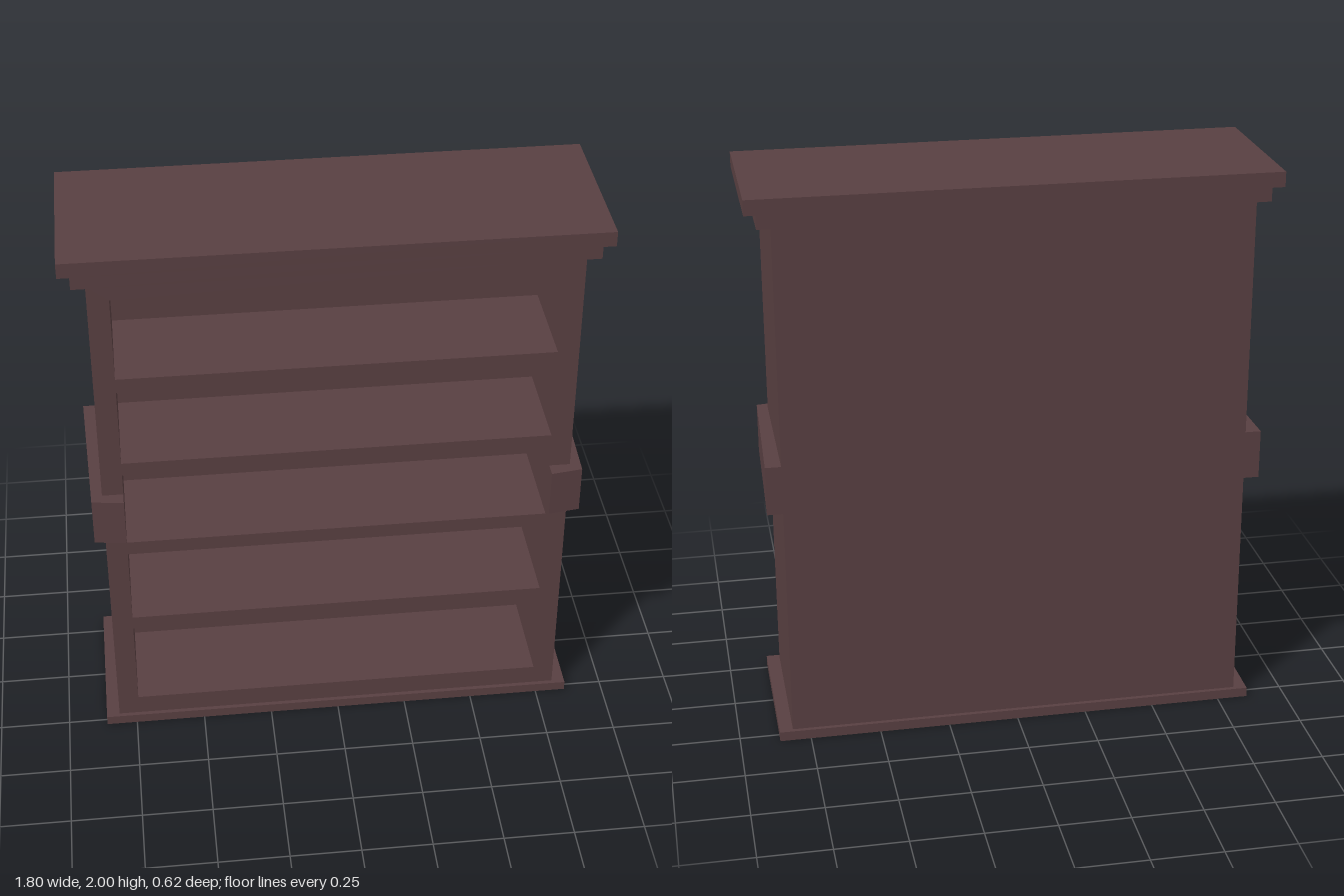
import * as THREE from 'three';

const material = new THREE.MeshStandardMaterial({ color: 0x583f41, flatShading: true });

export function createModel() {
  const model = new THREE.Group();
  model.name = 'bookcase';

  const add = (name, geometry) => {
    const mesh = new THREE.Mesh(geometry, material);
    mesh.name = name;
    model.add(mesh);
    return mesh;
  };

  // Box centred on x, given by half width, y range and z range
  const slab = (name, halfWidth, y0, y1, z0, z1) =>
    add(name, new THREE.BoxGeometry(halfWidth * 2, y1 - y0, z1 - z0))
      .position.set(0, (y0 + y1) / 2, (z0 + z1) / 2);

  const rectangle = (path, x, y0, y1) =>
    path.moveTo(-x, y0).lineTo(x, y0).lineTo(x, y1).lineTo(-x, y1).closePath();

  // Plinth, two-step cornice and thick back
  slab('base', 0.86, 0, 0.035, -0.295, 0.275);
  slab('corniceLower', 0.86, 1.895, 1.947, -0.295, 0.275);
  slab('corniceTop', 0.9, 1.947, 2, -0.31, 0.288);
  slab('backPanel', 0.813, 0.035, 1.895, -0.28, -0.1);

  // Sides and shelves: one frame pierced by five compartments
  const frame = rectangle(new THREE.Shape(), 0.813, 0.035, 1.895);
  const compartments = [
    [0.11, 0.445], [0.497, 0.79], [0.842, 1.135], [1.185, 1.477], [1.53, 1.837],
  ];
  for (const [y0, y1] of compartments) {
    frame.holes.push(rectangle(new THREE.Path(), 0.74, y0, y1));
  }
  add('shelfFrame', new THREE.ExtrudeGeometry(frame, { depth: 0.36, bevelEnabled: false }))
    .position.z = -0.1;

  // Bands wrapping each side and its front post, slightly tapered (x, z plan)
  const plan = [
    [0.74, 0.25], [0.74, 0.31], [0.85, 0.294], [0.868, -0.28], [0.8, -0.28], [0.8, 0.25],
  ];
  for (const [name, side] of [['leftBand', 1], ['rightBand', -1]]) {
    const shape = new THREE.Shape(plan.map(([x, z]) => new THREE.Vector2(side * x, -z)));
    const band = new THREE.ExtrudeGeometry(shape, { depth: 0.175, bevelEnabled: false });
    add(name, band.rotateX(-Math.PI / 2)).position.y = 0.88;
  }

  return model;
}
